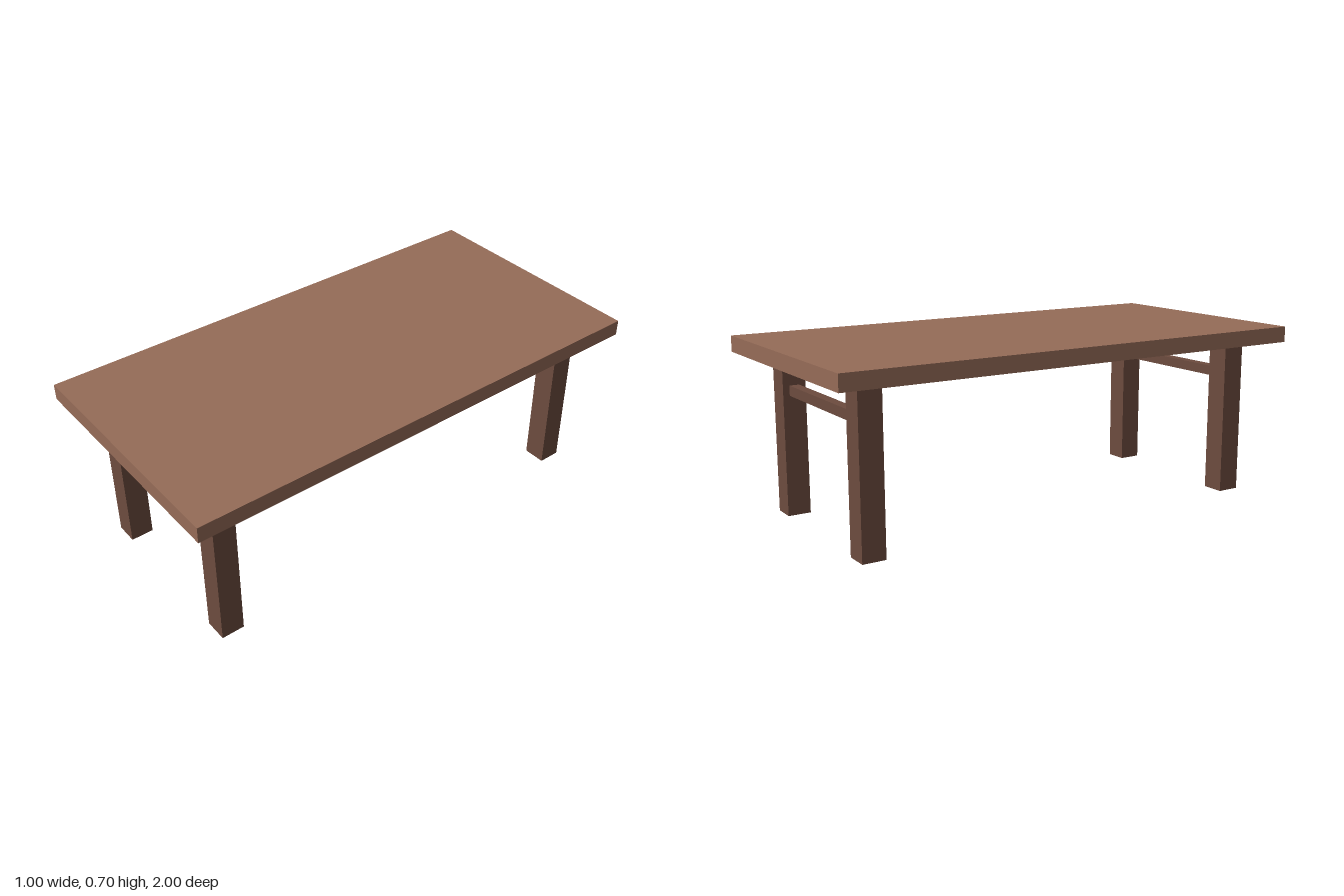
import * as THREE from 'three';

const topWood = new THREE.MeshStandardMaterial({ color: 0x966c58 });
topWood.name = 'light brown wood';
const legWood = new THREE.MeshStandardMaterial({ color: 0x6d4c3f });
legWood.name = 'dark brown wood';

function addBox(parent, name, material, size, position) {
  const mesh = new THREE.Mesh(new THREE.BoxGeometry(...size), material);
  mesh.name = name;
  mesh.position.set(...position);
  parent.add(mesh);
}

export function createModel() {
  const table = new THREE.Group();
  table.name = 'table';

  const height = 0.7, topThickness = 0.064, legWidth = 0.093;
  const legHeight = height - topThickness;
  const legX = 0.333, legZ = 0.833;

  // Table top
  addBox(table, 'tableTop', topWood, [1, topThickness, 2], [0, height - topThickness / 2, 0]);

  // A pair of legs joined by a rail at each end
  for (const [end, z] of [['front', legZ], ['back', -legZ]]) {
    for (const [side, x] of [['Left', legX], ['Right', -legX]]) {
      addBox(table, `${end}${side}Leg`, legWood, [legWidth, legHeight, legWidth], [x, legHeight / 2, z]);
    }
    addBox(table, `${end}Rail`, legWood, [2 * legX - legWidth, 0.04, 0.04], [0, 0.5, z]);
  }

  return table;
}
